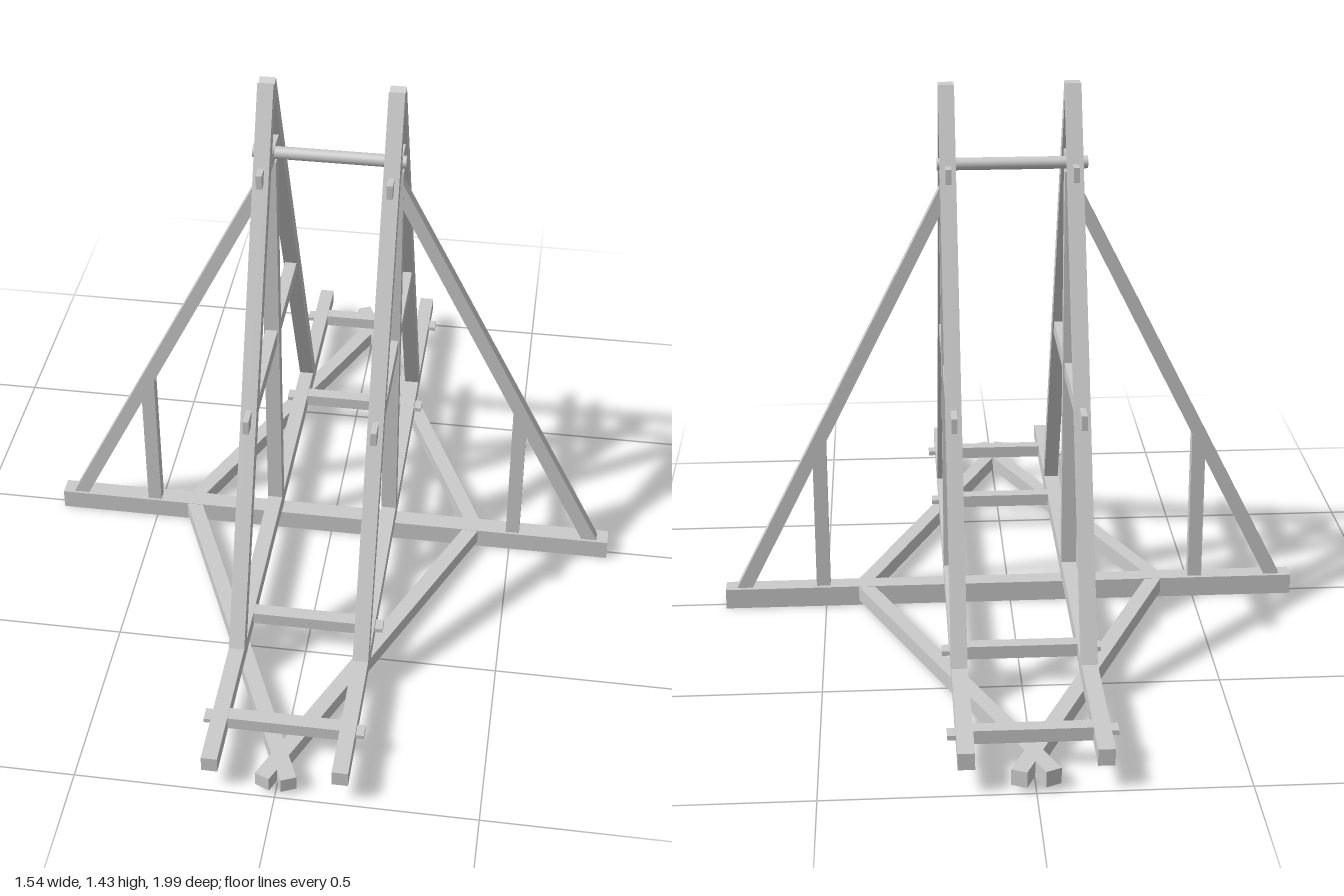
import * as THREE from 'three';

const material = new THREE.MeshStandardMaterial({ color: 0xcccccc, flatShading: true });

export function createModel() {
  const model = new THREE.Group();

  const add = (name, geometry, x = 0, y = 0, z = 0) => {
    const mesh = new THREE.Mesh(geometry, material);
    mesh.name = name;
    mesh.position.set(x, y, z);
    model.add(mesh);
    return mesh;
  };
  const box = (name, w, h, d, x, y, z) => add(name, new THREE.BoxGeometry(w, h, d), x, y, z);

  // Slanted timber from a to b; its length lies on y for upright pieces, on z for flat ones
  const timber = (name, a, b, w, t) => {
    const start = new THREE.Vector3(...a), end = new THREE.Vector3(...b);
    const dir = end.clone().sub(start), length = dir.length();
    const flat = Math.abs(dir.y) < 1e-6;
    const mesh = flat ? box(name, w, t, length, 0, 0, 0) : box(name, w, length, t, 0, 0, 0);
    mesh.position.copy(start).add(end).multiplyScalar(0.5);
    const axis = new THREE.Vector3(0, flat ? 0 : 1, flat ? Math.sign(dir.z) : 0);
    mesh.quaternion.setFromUnitVectors(axis, dir.normalize());
  };

  // Flat outline in the front plane, extruded along z and centred
  const plank = (name, points, depth, z) => {
    const shape = new THREE.Shape(points.map(([x, y]) => new THREE.Vector2(x, y)));
    const geometry = new THREE.ExtrudeGeometry(shape, { depth, bevelEnabled: false });
    add(name, geometry, 0, 0, z - depth / 2);
  };

  // Ground beam across the frame
  box('crossBeam', 1.54, 0.055, 0.05, 0, 0.0275, 0);

  for (const s of [1, -1]) {
    const x = s * 0.16;

    // Long rail, upright post and the two legs of the A-frame
    box('sideRail', 0.04, 0.042, 1.99, x, 0.085, 0);
    box('centrePost', 0.04, 1.14, 0.034, x, 0.63, 0.003);
    timber('frontLeg', [x, 0.09, 0.608], [x, 1.42, 0.014], 0.04, 0.036);
    timber('rearLeg', [x, 0.09, -0.584], [x, 1.42, 0.01], 0.04, 0.036);

    // Ties between the legs, with narrow tenons showing past them
    box('middleTie', 0.032, 0.038, 0.69, x, 0.664, 0.007);
    box('middleTieTenon', 0.015, 0.038, 0.81, x, 0.664, 0.006);
    box('topTie', 0.032, 0.038, 0.19, x, 1.22, 0.012);
    box('topTieTenon', 0.015, 0.038, 0.275, x, 1.22, 0.0125);

    // Outrigger strut and the short post below it
    plank('outriggerBrace', [[s * 0.7, 0.05], [s * 0.742, 0.05], [s * 0.175, 1.172], [s * 0.175, 1.1]], 0.032, 0.002);
    plank('outriggerPost', [[s * 0.488, 0.05], [s * 0.525, 0.05], [s * 0.525, 0.41], [s * 0.488, 0.485]], 0.032, 0.002);

    // Flat diagonal braces crossing beyond the centre line at each end
    timber('frontDiagonal', [s * 0.398, 0.034, 0.005], [s * -0.033, 0.034, 0.985], 0.04, 0.04);
    timber('rearDiagonal', [s * 0.398, 0.034, -0.005], [s * -0.04, 0.034, -0.99], 0.04, 0.04);
  }

  // Ties between the rails with thin through tenons
  for (const z of [0.84, 0.468, -0.465, -0.875]) {
    box('railTie', 0.3, 0.034, 0.036, 0, 0.087, z);
    box('railTieTenon', 0.4, 0.012, 0.036, 0, 0.088, z);
  }

  // Round axle near the top
  const axle = new THREE.CylinderGeometry(0.016, 0.016, 0.385, 20);
  const axleMesh = add('axle', axle, -0.007, 1.221, 0.004);
  axleMesh.rotation.z = Math.PI / 2;
  axleMesh.material = new THREE.MeshStandardMaterial({ color: 0xcccccc });

  return model;
}
